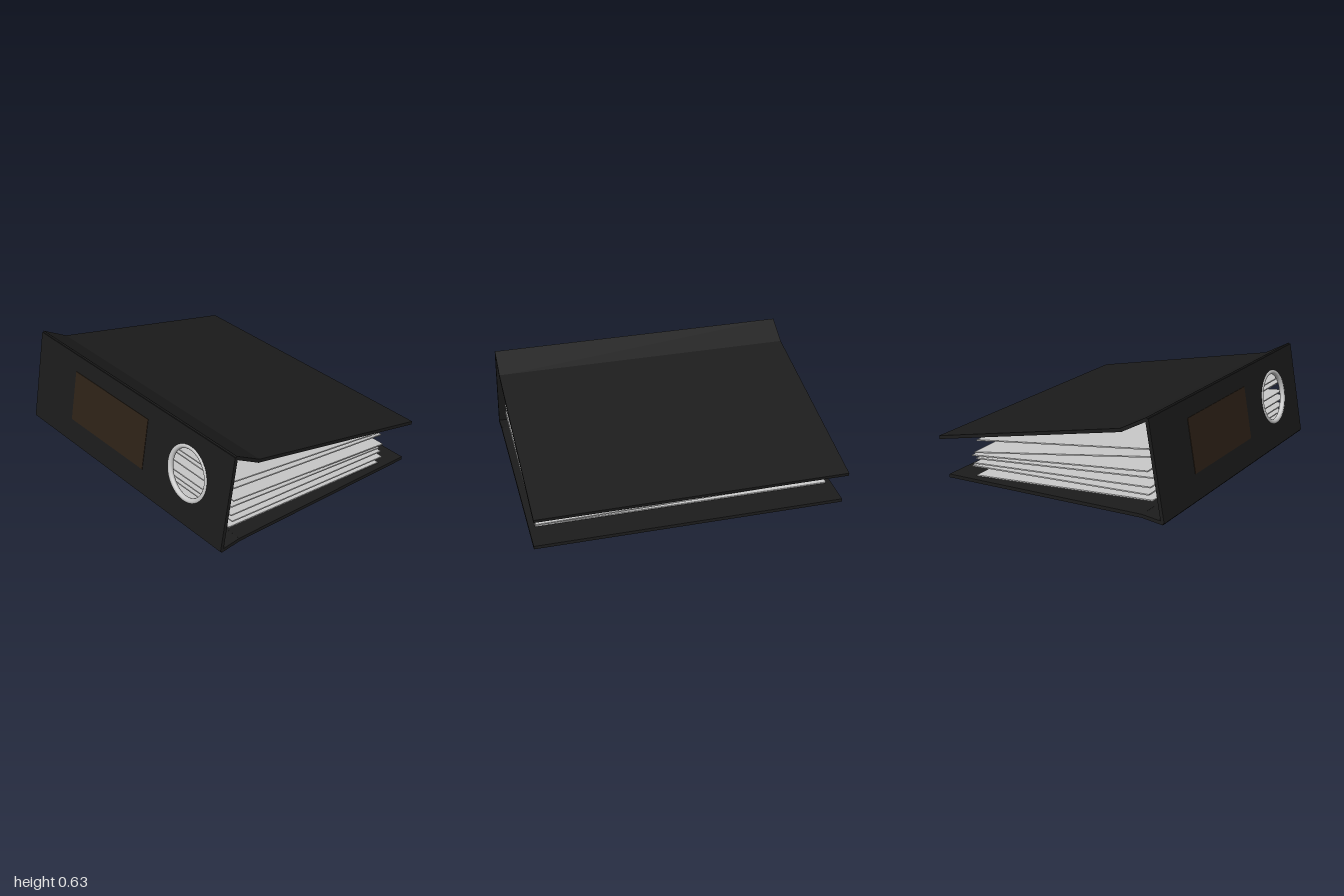
import * as THREE from 'three';

const WIDTH = 2, BOARD = 0.022, PAGE_WIDTH = 1.92, PAGE = 0.008;

const coverMat = new THREE.MeshStandardMaterial({ color: 0x1c1c1c });
const labelMat = new THREE.MeshStandardMaterial({ color: 0x2e2217 });
const greyMat = new THREE.MeshStandardMaterial({ color: 0xcccccc });

function add(parent, name, geometry, material) {
  const mesh = new THREE.Mesh(geometry, material);
  mesh.name = name;
  parent.add(mesh);
  return mesh;
}

// Flat board spanning the full width between two [z, y] points
function addBoard(parent, name, [z0, y0], [z1, y1]) {
  const dz = z0 - z1, dy = y0 - y1;
  const board = add(parent, name, new THREE.BoxGeometry(WIDTH, BOARD, Math.hypot(dz, dy) + 0.008), coverMat);
  board.position.set(0, (y0 + y1) / 2, (z0 + z1) / 2);
  board.rotation.x = -Math.atan2(dy, dz);
}

// Sheet with its own front edge and a back edge that may sag to one side
function pageGeometry(front, back, leftY, rightY) {
  const geo = new THREE.BoxGeometry(PAGE_WIDTH, PAGE, 1, 8, 1, 8);
  const p = geo.attributes.position;
  for (let i = 0; i < p.count; i++) {
    const toBack = 0.5 - p.getZ(i);
    const backY = THREE.MathUtils.lerp(rightY, leftY, p.getX(i) / PAGE_WIDTH + 0.5);
    p.setY(i, p.getY(i) + THREE.MathUtils.lerp(front[1], backY, toBack));
    p.setZ(i, THREE.MathUtils.lerp(front[0], back, toBack));
  }
  geo.computeVertexNormals();
  return geo;
}

export function createModel() {
  const model = new THREE.Group();
  model.name = 'ringBinder';

  // Covers, each with a folded hinge strip beside the spine
  const spineBottom = [0.797, 0.013], spineTop = [0.691, 0.617];
  const topFold = [0.52, 0.525], bottomFold = [0.66, 0.03];
  addBoard(model, 'topHinge', spineTop, topFold);
  addBoard(model, 'topCover', topFold, [-0.805, 0.256]);
  addBoard(model, 'bottomHinge', spineBottom, bottomFold);
  addBoard(model, 'bottomCover', bottomFold, [-0.737, 0.012]);

  // Leaning spine, with its parts placed in the spine's own plane
  const dz = spineTop[0] - spineBottom[0], dy = spineTop[1] - spineBottom[1];
  const h = Math.hypot(dz, dy) / 2 + 0.003;
  const spine = new THREE.Group();
  spine.name = 'spine';
  spine.position.set(0, (spineBottom[1] + spineTop[1]) / 2, (spineBottom[0] + spineTop[0]) / 2);
  spine.rotation.x = Math.atan2(dz, dy);
  model.add(spine);

  // Spine board with finger hole
  const holeX = 0.622, holeY = 0.024, holeR = 0.17;
  const shape = new THREE.Shape([
    new THREE.Vector2(-1, -h), new THREE.Vector2(1, -h),
    new THREE.Vector2(1, h), new THREE.Vector2(-1, h),
  ]);
  shape.holes.push(new THREE.Path().absarc(holeX, holeY, holeR, 0, Math.PI * 2, true));
  const spineGeo = new THREE.ExtrudeGeometry(shape, { depth: BOARD, bevelEnabled: false, curveSegments: 32 });
  spineGeo.translate(0, 0, -BOARD / 2);
  add(spine, 'spineBoard', spineGeo, coverMat);

  // Metal rim around the hole
  const rim = add(spine, 'fingerRing', new THREE.TorusGeometry(holeR, 0.017, 12, 48), greyMat);
  rim.position.set(holeX, holeY, 0);

  // Spine label
  const label = add(spine, 'spineLabel', new THREE.BoxGeometry(0.78, 0.345, 0.004), labelMat);
  label.position.set(-0.18, 0.024, BOARD / 2 + 0.001);

  // Fanned sheets: front [z, y], back z, back height on the left and right sides
  const sheets = [
    [[0.71, 0.430], -0.545, 0.270, 0.270],
    [[0.695, 0.382], -0.565, 0.245, 0.186],
    [[0.675, 0.291], -0.587, 0.163, 0.163],
    [[0.71, 0.258], -0.555, 0.148, 0.148],
    [[0.695, 0.197], -0.572, 0.114, 0.114],
    [[0.685, 0.150], -0.587, 0.066, 0.094],
    [[0.712, 0.120], -0.555, 0.035, 0.035],
  ];
  const pages = new THREE.Group();
  pages.name = 'pages';
  model.add(pages);
  sheets.forEach((s, i) => add(pages, `sheet${i + 1}`, pageGeometry(...s), greyMat));

  return model;
}
